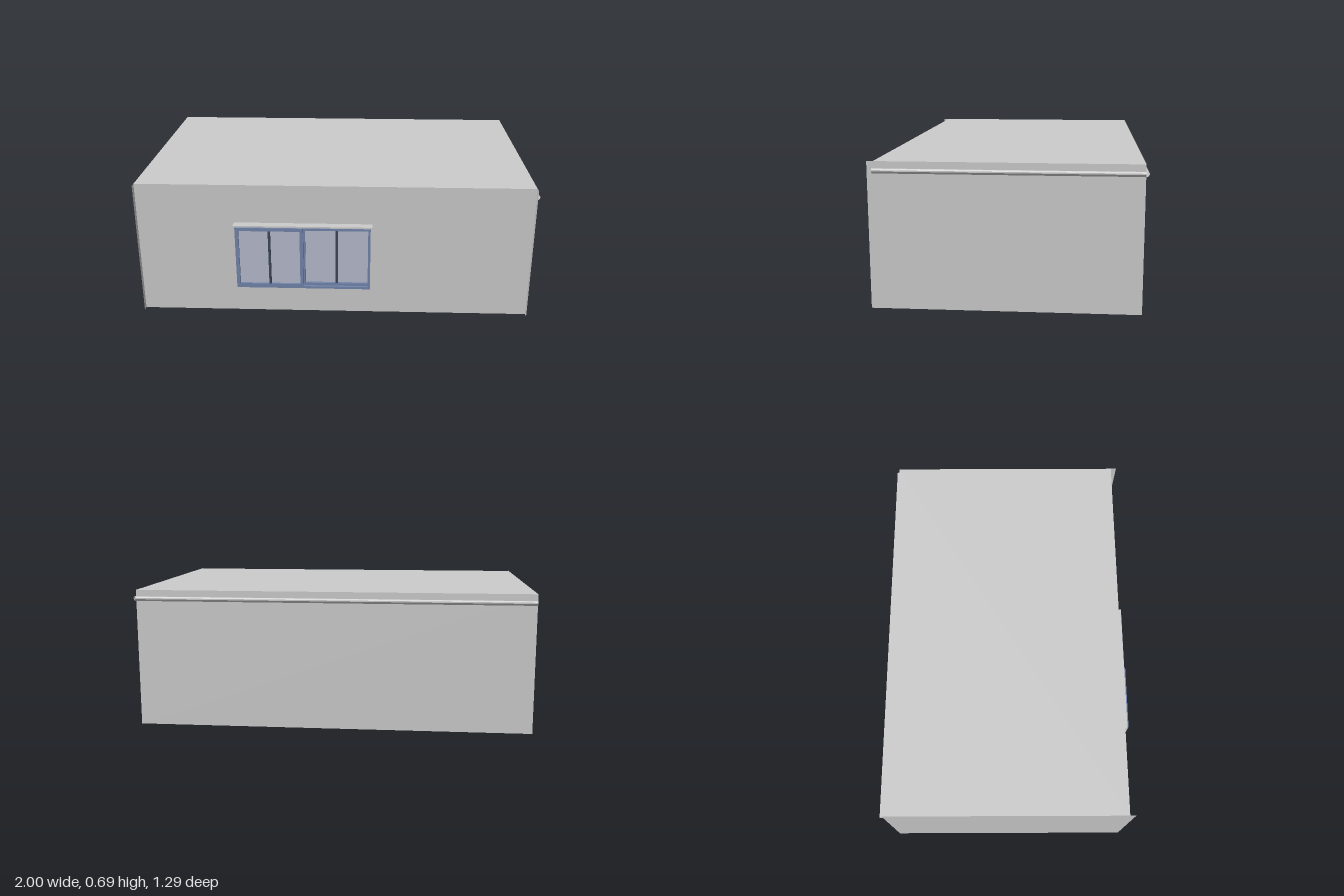
import * as THREE from 'three';

const grey = new THREE.MeshStandardMaterial({ color: 0xcccccc });
const greyThin = new THREE.MeshStandardMaterial({ color: 0xcccccc, side: THREE.DoubleSide });
const blue = new THREE.MeshStandardMaterial({ color: 0x7385ad });
const dark = new THREE.MeshStandardMaterial({ color: 0x3c4658 });
const glass = new THREE.MeshStandardMaterial({ color: 0xb7bbcc });

// Main extents of the room
const L = -1, R = 0.985, H = 0.695, BACK = -0.63, FRONT = 0.595, LIP = 0.625;

function add(parent, name, geometry, material) {
  const mesh = new THREE.Mesh(geometry, material);
  mesh.name = name;
  parent.add(mesh);
  return mesh;
}

// Box given by its minimum and maximum corners
function box(parent, name, [x0, y0, z0], [x1, y1, z1], material) {
  const mesh = add(parent, name, new THREE.BoxGeometry(x1 - x0, y1 - y0, z1 - z0), material);
  mesh.position.set((x0 + x1) / 2, (y0 + y1) / 2, (z0 + z1) / 2);
  return mesh;
}

// Flat panel of width w and height h, turned to face outward
function panel(parent, name, w, h, position, rotation, material = grey) {
  const mesh = add(parent, name, new THREE.PlaneGeometry(w, h), material);
  mesh.position.set(...position);
  mesh.rotation.set(...rotation);
  return mesh;
}

// Rectangular frame with an opening, extruded from z0 to z1
function frame(parent, name, [x0, y0, x1, y1], border, z0, z1, material) {
  const rect = (path, a, b, c, d) => path.moveTo(a, b).lineTo(c, b).lineTo(c, d).lineTo(a, d).closePath();
  const shape = rect(new THREE.Shape(), x0, y0, x1, y1);
  shape.holes.push(rect(new THREE.Path(), x0 + border, y0 + border, x1 - border, y1 - border));
  const geometry = new THREE.ExtrudeGeometry(shape, { depth: z1 - z0, bevelEnabled: false });
  add(parent, name, geometry, material).position.z = z0;
}

// Open moulding strip: a profile of (outward, height) points run along a length
function moulding(parent, name, length) {
  const profile = [[0, 0.662], [0.009, 0.662], [0.015, 0.656], [0.015, 0.65], [0.008, 0.64], [0, 0.64]];
  const positions = [];
  for (let i = 0; i < profile.length - 1; i++) {
    const [a, b] = profile[i], [c, d] = profile[i + 1], h = length / 2;
    positions.push(-h, b, a, -h, d, c, h, d, c, -h, b, a, h, d, c, h, b, a);
  }
  const geometry = new THREE.BufferGeometry();
  geometry.setAttribute('position', new THREE.Float32BufferAttribute(positions, 3));
  geometry.computeVertexNormals();
  return add(parent, name, geometry, greyThin);
}

export function createModel() {
  const model = new THREE.Group();
  model.name = 'room';
  const width = R - L, midX = (L + R) / 2;
  const sideDepth = LIP - BACK, sideZ = (LIP + BACK) / 2;

  // Room shell; the side walls run slightly past the front wall
  const quarter = Math.PI / 2;
  panel(model, 'frontWall', width, H, [midX, H / 2, FRONT], [0, 0, 0], greyThin);
  panel(model, 'backWall', width, H, [midX, H / 2, BACK], [0, Math.PI, 0], greyThin);
  panel(model, 'rightWall', sideDepth, H, [R, H / 2, sideZ], [0, quarter, 0], greyThin);
  panel(model, 'leftWall', sideDepth, H, [L, H / 2, sideZ], [0, -quarter, 0], greyThin);
  panel(model, 'roof', width, FRONT - BACK, [midX, H, (FRONT + BACK) / 2], [-quarter, 0, 0], greyThin);
  panel(model, 'floor', width, sideDepth, [midX, 0, sideZ], [quarter, 0, 0]);

  // Mouldings near the top of the back and right walls
  const backMoulding = moulding(model, 'backMoulding', width);
  backMoulding.rotation.y = Math.PI;
  backMoulding.position.set(midX, 0, BACK);
  const sideMoulding = moulding(model, 'rightMoulding', 0.6 - BACK);
  sideMoulding.rotation.y = quarter;
  sideMoulding.position.set(R, 0, (0.6 + BACK) / 2);

  // Sliding window: outer casing, frame, two sashes
  const win = new THREE.Group();
  win.name = 'window';
  model.add(win);
  frame(win, 'windowCasing', [-0.51, 0.145, 0.185, 0.495], 0.008, FRONT, 0.638, grey);
  frame(win, 'windowFrame', [-0.502, 0.153, 0.177, 0.487], 0.012, FRONT, 0.64, blue);
  const sashes = [
    { name: 'leftSash', x0: -0.5, x1: -0.16, z: 0.625, front: 0.645 },
    { name: 'rightSash', x0: -0.168, x1: 0.182, z: 0.606, front: 0.628 },
  ];
  for (const { name, x0, x1, z, front } of sashes) {
    const mid = (x0 + x1) / 2;
    frame(win, name, [x0, 0.162, x1, 0.487], 0.017, z, front, blue);
    box(win, name + 'Glass', [x0 + 0.015, 0.177, z + 0.004], [x1 - 0.015, 0.472, z + 0.009], glass);
    box(win, name + 'Mullion', [mid - 0.006, 0.177, z + 0.002], [mid + 0.006, 0.472, front - 0.003], dark);
  }
  return model;
}
